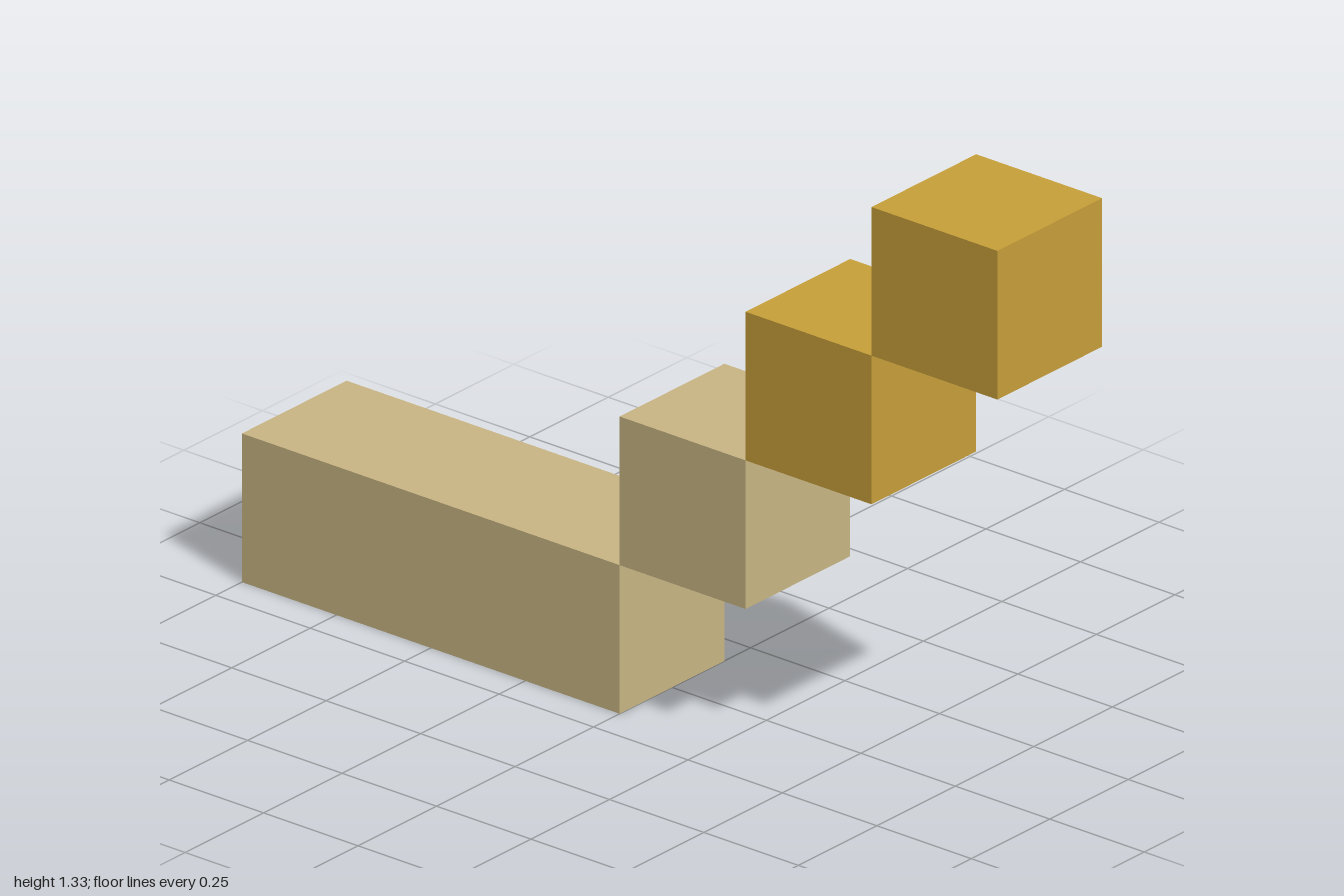
import * as THREE from 'three';

export function createModel() {
  const tan = new THREE.MeshStandardMaterial({ color: 0xc9b684 });
  tan.name = 'tan';
  const gold = new THREE.MeshStandardMaterial({ color: 0xc8a03a });
  gold.name = 'gold';

  const unit = 1 / 3; // edge of one cube
  const model = new THREE.Group();
  model.name = 'steppedBlocks';

  // One block, length in units, placed by its lower left corner in units
  function addBlock(name, material, length, column, row) {
    const mesh = new THREE.Mesh(new THREE.BoxGeometry(length * unit, unit, unit), material);
    mesh.name = name;
    mesh.position.set((column + length / 2) * unit, (row + 0.5) * unit, 0);
    model.add(mesh);
  }

  // Long base bar, then cubes climbing edge to edge
  addBlock('baseBar', tan, 3, -3, 0);
  addBlock('lowerStep', tan, 1, 0, 1);
  addBlock('middleStep', gold, 1, 1, 2);
  addBlock('topStep', gold, 1, 2, 3);

  return model;
}
